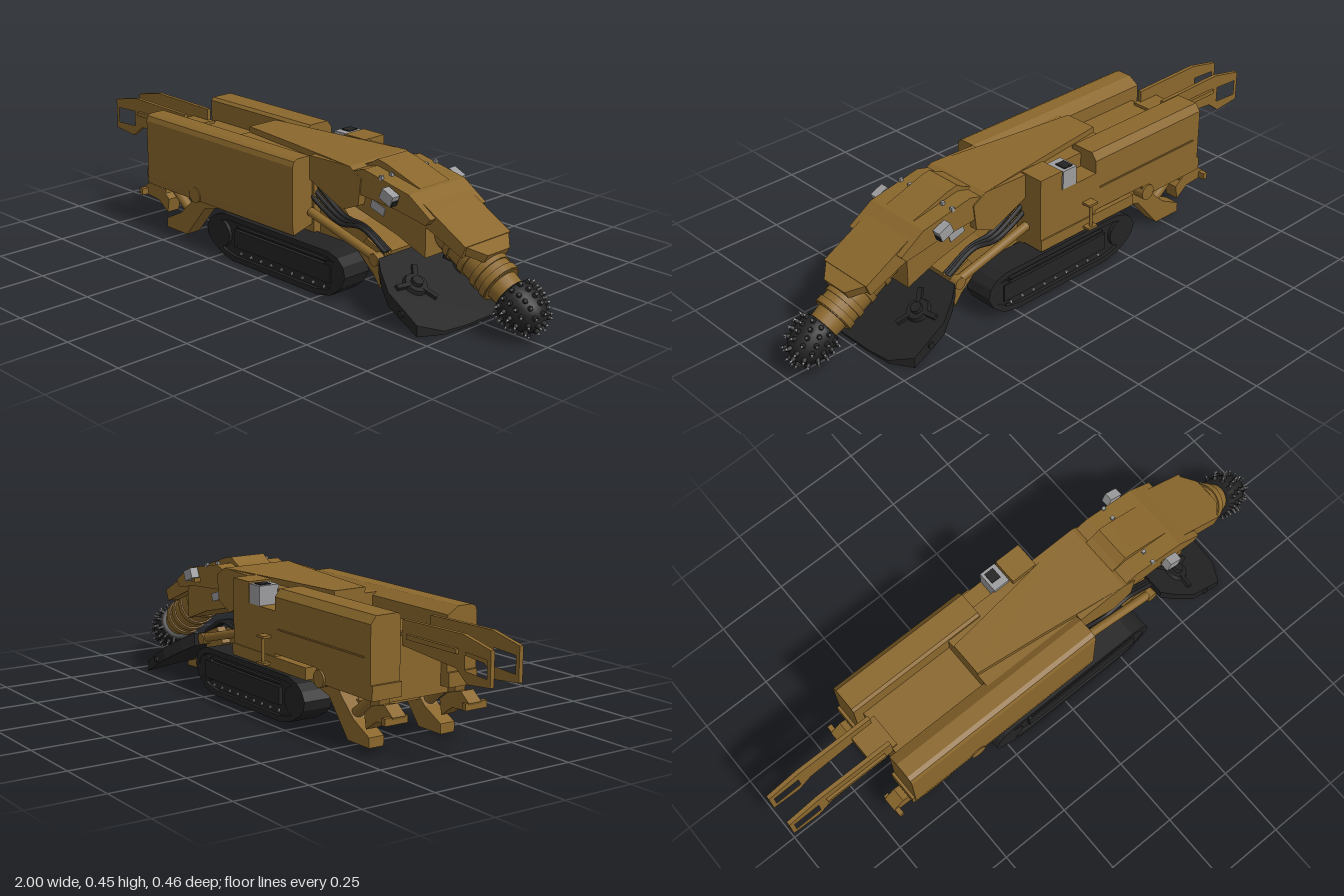
import * as THREE from 'three';

const mat = (name, color) => {
  const m = new THREE.MeshStandardMaterial({ color });
  m.name = name;
  return m;
};

export function createModel() {
  const root = new THREE.Group();
  root.name = 'roadheader';
  const gold = mat('ochre paint', 0x8a672c);
  const black = mat('dark steel', 0x232323);
  const grey = mat('light grey metal', 0x9c9c9e);
  const V = (x, y, z) => new THREE.Vector3(x, y, z);

  const add = (name, geo, m, parent = root) => {
    const mesh = new THREE.Mesh(geo, m);
    mesh.name = name;
    parent.add(mesh);
    return mesh;
  };
  const box = (name, x0, x1, y0, y1, z0, z1, m = gold) =>
    add(name, new THREE.BoxGeometry(x1 - x0, y1 - y0, z1 - z0), m)
      .position.set((x0 + x1) / 2, (y0 + y1) / 2, (z0 + z1) / 2);
  const shape = (pts) => new THREE.Shape(pts.map((p) => new THREE.Vector2(p[0], p[1])));
  const extrude = (s, depth) => new THREE.ExtrudeGeometry(s, { depth, bevelEnabled: false, curveSegments: 16 });
  // Side outline (x, y) spanning z0..z1
  const slab = (name, pts, z0, z1, m = gold, hole) => {
    const s = shape(pts);
    if (hole) s.holes.push(new THREE.Path(hole.map((p) => new THREE.Vector2(p[0], p[1]))));
    return add(name, extrude(s, z1 - z0).translate(0, 0, z0), m);
  };
  // End outline (z, y) spanning x0..x1
  const beam = (name, pts, x0, x1, m = gold) =>
    add(name, extrude(shape(pts.map(([z, y]) => [-z, y])), x1 - x0).rotateY(Math.PI / 2).translate(x0, 0, 0), m);
  // Top outline (x, z) spanning y0..y1
  const plate = (name, pts, y0, y1, m = gold) =>
    add(name, extrude(shape(pts.map(([x, z]) => [x, -z])), y1 - y0).rotateX(-Math.PI / 2).translate(0, y0, 0), m);
  const rod = (name, a, b, r, m = gold, r2 = r) => {
    const mesh = add(name, new THREE.CylinderGeometry(r2, r, a.distanceTo(b), 20), m);
    mesh.position.copy(a).lerp(b, 0.5);
    mesh.quaternion.setFromUnitVectors(V(0, 1, 0), b.clone().sub(a).normalize());
    return mesh;
  };
  const disc = (name, x, y, z0, z1, r, m) => rod(name, V(x, y, z0), V(x, y, z1), r, m);
  const tube = (name, pts, r, m = black) =>
    add(name, new THREE.TubeGeometry(new THREE.CatmullRomCurve3(pts), 20, r, 6), m);

  // Central hull and sloping front frame
  box('hull', -0.6, 0.13, 0.15, 0.35, -0.12, 0.12);
  box('hullRoof', -0.25, 0.13, 0.35, 0.41, -0.13, 0.13);
  plate('topCover', [[-0.25, 0.06], [0, 0.09], [0.3, 0.13], [0.3, -0.13], [0, -0.09], [-0.25, -0.06]], 0.405, 0.43);
  slab('frontFrame', [[0.1, 0.16], [0.1, 0.31], [0.2, 0.3], [0.28, 0.23], [0.45, 0.18], [0.42, 0.07], [0.35, 0.12]], -0.09, 0.09);

  // Side tanks: the left one is long, the right one leaves a cab bay
  beam('leftTank', [[0.09, 0.2], [0.2, 0.17], [0.204, 0.2], [0.204, 0.4], [0.198, 0.417], [0.183, 0.424], [0.13, 0.424], [0.09, 0.4]], -0.63, 0.12);
  beam('rightTank', [[-0.09, 0.22], [-0.2, 0.22], [-0.2, 0.405], [-0.18, 0.43], [-0.1, 0.43], [-0.09, 0.42]], -0.63, -0.12);
  box('rightCabinet', 0.035, 0.13, 0.19, 0.43, -0.2, -0.11);
  box('cabFloor', -0.12, 0.035, 0.19, 0.36, -0.2, -0.11);
  box('sideSkirt', -0.3, 0.13, 0.17, 0.21, -0.205, -0.1);
  box('tankSeam', -0.6, -0.14, 0.3, 0.305, -0.204, -0.2);
  box('controlPanel', -0.03, 0.03, 0.36, 0.425, -0.2, -0.125, grey);
  box('controlScreen', -0.02, 0.015, 0.425, 0.429, -0.19, -0.15, black);
  for (const y of [0.18, 0.268]) box('leverBracket', -0.1, -0.06, y, y + 0.008, -0.232, -0.18);
  rod('lever', V(-0.08, 0.18, -0.22), V(-0.08, 0.275, -0.22), 0.006);

  // Turret and boom: a wide upper block over a narrower lower beam
  slab('turret', [[0.12, 0.345], [0.12, 0.425], [0.3, 0.43], [0.35, 0.4], [0.34, 0.31], [0.27, 0.28]], -0.13, 0.13);
  slab('boomBlock', [[0.28, 0.41], [0.36, 0.432], [0.55, 0.395], [0.64, 0.337], [0.62, 0.315], [0.5, 0.335], [0.3, 0.35]], -0.126, 0.126);
  slab('boomBeam', [[0.3, 0.36], [0.6, 0.34], [0.6, 0.2], [0.48, 0.245], [0.3, 0.29]], -0.102, 0.102);
  slab('boomHump', [[0.29, 0.42], [0.33, 0.435], [0.36, 0.453], [0.4, 0.445], [0.54, 0.399], [0.5, 0.38], [0.3, 0.41]], -0.066, 0.066);
  slab('boomShroud', [[0.55, 0.39], [0.62, 0.354], [0.76, 0.278], [0.745, 0.24], [0.6, 0.3]], -0.103, 0.103);
  const nose = plate('shroudNose', [[0, -0.1], [0.055, -0.05], [0.055, 0.05], [0, 0.1]], -0.03, 0);
  nose.position.set(0.755, 0.278, 0);
  nose.rotation.z = -0.52;

  // Telescopic barrel with collars, along the boom axis
  const axis = V(Math.cos(0.535), -Math.sin(0.535), 0);
  const along = (d) => V(0.56, 0.303, 0).addScaledVector(axis, d);
  rod('boomBarrel', along(0), along(0.3), 0.064);
  for (const d of [0.1, 0.17, 0.23, 0.275]) rod('barrelCollar', along(d), along(d + 0.022), 0.069);
  rod('barrelNeck', along(0.29), along(0.35), 0.054, gold, 0.05);

  // Cutting head with spiralling picks
  const head = new THREE.Group();
  head.name = 'cuttingHead';
  head.position.copy(along(0.342));
  head.quaternion.setFromUnitVectors(V(0, 1, 0), axis);
  root.add(head);
  const profile = [[0, 0], [0.058, 0], [0.067, 0.012], [0.068, 0.05], [0.06, 0.09], [0.042, 0.122], [0, 0.138]];
  add('headDrum', new THREE.LatheGeometry(profile.map((p) => new THREE.Vector2(...p)), 28), black, head);
  const rings = [[0.065, 0.015, 0], [0.067, 0.04, 0.1], [0.065, 0.065, 0.25], [0.058, 0.09, 0.55], [0.043, 0.118, 0.9], [0.015, 0.133, 1.35]];
  rings.forEach(([r, y, tilt], i) => {
    const n = i === 5 ? 4 : 13 - i;
    for (let k = 0; k < n; k++) {
      const a = (k / n) * Math.PI * 2 + i * 0.42;
      const dir = V(Math.cos(a) * Math.cos(tilt), Math.sin(tilt), Math.sin(a) * Math.cos(tilt));
      const pick = new THREE.Group();
      pick.name = 'pick';
      pick.position.set(Math.cos(a) * r, y, Math.sin(a) * r);
      pick.quaternion.setFromUnitVectors(V(0, 1, 0), dir);
      head.add(pick);
      add('pickHolder', new THREE.CylinderGeometry(0.006, 0.01, 0.016, 8), black, pick).position.y = 0.003;
      add('pickTip', new THREE.ConeGeometry(0.005, 0.015, 8), grey, pick).position.y = 0.0165;
    }
  });

  // Loading apron: a wedge sloping down to the ground, its underside levelled at the floor
  const slope = (x) => 0.17 - (x - 0.47) * 0.6;
  const half = [[0.46, 0.16], [0.5, 0.19], [0.565, 0.224], [0.685, 0.224], [0.728, 0.15], [0.735, 0.06]];
  const outline = [...half, ...half.map(([x, z]) => [x, -z]).reverse()];
  const apron = plate('loadingApron', outline, 0, 1, black).geometry;
  const pos = apron.attributes.position;
  for (let i = 0; i < pos.count; i++) {
    const top = slope(pos.getX(i));
    pos.setY(i, pos.getY(i) > 0.5 ? top : Math.max(0.004, top - 0.045));
  }
  apron.computeVertexNormals();
  const deck = new THREE.Group();
  deck.name = 'apronGear';
  deck.position.set(0.47, slope(0.47), 0);
  deck.rotation.z = -Math.atan(0.6);
  root.add(deck);
  for (const s of [1, -1]) {
    add('gatheringDisc', new THREE.CylinderGeometry(0.037, 0.042, 0.014, 28), black, deck).position.set(0.12, 0.006, s * 0.115);
    add('discHub', new THREE.CylinderGeometry(0.018, 0.02, 0.014, 20), black, deck).position.set(0.12, 0.018, s * 0.115);
    for (let k = 0; k < 3; k++) {
      const a = k * 2.094 + s * 0.4;
      const arm = add('gatheringArm', new THREE.BoxGeometry(0.05, 0.012, 0.016), black, deck);
      arm.position.set(0.12 + Math.cos(a) * 0.052, 0.008, s * 0.115 - Math.sin(a) * 0.052);
      arm.rotation.y = a;
    }
  }
  slab('apronSupport', [[0.42, 0.14], [0.5, 0.11], [0.58, 0.05], [0.63, 0.035], [0.63, 0.018], [0.57, 0.022], [0.42, 0.09]], -0.09, 0.09);

  // Paired equipment on both sides
  const oval = [[-0.26, 0.15], [-0.285, 0.13], [-0.302, 0.1], [-0.295, 0.07], [-0.27, 0.045], [-0.22, 0.018], [-0.17, 0.006],
    [0.24, 0.006], [0.3, 0.02], [0.345, 0.055], [0.365, 0.095], [0.355, 0.13], [0.33, 0.153], [0.29, 0.165], [-0.21, 0.165]];
  const inset = oval.map(([x, y]) => [0.03 + (x - 0.03) * 0.94, 0.086 + (y - 0.086) * 0.76]);
  for (const s of [1, -1]) {
    const span = (a, b) => (s > 0 ? [a, b] : [-b, -a]);
    // Crawler tracks
    slab('trackBelt', oval, ...span(0.105, 0.21), black, inset);
    slab('trackFrame', inset, ...span(0.115, 0.198), black);
    box('trackBeam', -0.16, 0.3, 0.06, 0.12, ...span(0.195, 0.212), black);
    box('trackGuard', -0.15, 0.27, 0.128, 0.134, ...span(0.198, 0.21), black);
    disc('sprocket', -0.235, 0.09, s * 0.19, s * 0.21, 0.048, black);
    disc('idler', 0.3, 0.09, s * 0.19, s * 0.208, 0.045, black);
    for (let i = 0; i < 9; i++) disc('trackBolt', -0.14 + i * 0.05, 0.037, s * 0.19, s * 0.202, 0.005, grey);

    // Conveyor tail arms
    slab('tailArm', [[-1, 0.38], [-0.88, 0.405], [-0.6, 0.4], [-0.6, 0.32], [-0.85, 0.3], [-0.9, 0.262], [-1, 0.272]], ...span(0.046, 0.06),
      gold, [[-0.985, 0.35], [-0.89, 0.355], [-0.89, 0.3], [-0.985, 0.295]]);
    box('tailRib', -0.86, -0.63, 0.345, 0.36, ...span(0.058, 0.07));

    // Rear stabiliser legs
    slab('stabiliserLeg', [[-0.58, 0.012], [-0.47, 0.012], [-0.37, 0.13], [-0.24, 0.165], [-0.25, 0.2], [-0.4, 0.215], [-0.43, 0.15], [-0.5, 0.085], [-0.58, 0.045]], ...span(0.11, 0.165));
    disc('stabiliserPivot', -0.372, 0.19, s * 0.1, s * 0.207, 0.028, gold);
    rod('stabiliserCylinder', V(-0.6, 0.19, s * 0.14), V(-0.46, 0.08, s * 0.14), 0.018);
    slab('rearHook', [[-0.7, 0.135], [-0.66, 0.165], [-0.6, 0.15], [-0.56, 0.12], [-0.57, 0.07], [-0.62, 0.105], [-0.69, 0.11]], ...span(0.12, 0.17));
    slab('hookLink', [[-0.64, 0.22], [-0.59, 0.22], [-0.58, 0.12], [-0.62, 0.13]], ...span(0.125, 0.165));
    box('hookPlate', -0.697, -0.68, 0.112, 0.135, ...span(0.11, 0.195));
    box('rearBumper', -0.64, -0.35, 0.175, 0.222, ...span(0.09, 0.2));

    // Boom lift rams and hoses
    rod('liftRam', V(0.13, 0.24, s * 0.135), V(0.42, 0.165, s * 0.135), 0.015);
    disc('ramPin', 0.43, 0.16, s * 0.085, s * 0.152, 0.02, gold);
    slab('apronBracket', [[0.33, 0.16], [0.37, 0.21], [0.45, 0.175], [0.43, 0.06], [0.4, 0.1]], ...span(0.09, 0.122));
    for (let i = 0; i < 3; i++) {
      const z = s * (0.098 + i * 0.009);
      tube('hose', [V(0.11, 0.33 - i * 0.02, z), V(0.17, 0.29 - i * 0.018, z), V(0.25, 0.245 - i * 0.01, z), V(0.34, 0.235, z), V(0.45, 0.18, z)], 0.008);
    }

    // Work lamps and small fittings
    const lamp = add('workLamp', new THREE.BoxGeometry(0.05, 0.036, 0.03), grey);
    lamp.position.set(0.492, 0.381, s * 0.15);
    lamp.rotation.z = -0.4;
    box('lampArm', 0.47, 0.495, 0.355, 0.37, ...span(0.12, 0.15));
    const lens = add('lampLens', new THREE.BoxGeometry(0.006, 0.018, 0.024), black);
    lens.position.set(0.513, 0.364, s * 0.15);
    lens.rotation.z = -0.4;
    const cover = add('boomSidePlate', new THREE.BoxGeometry(0.06, 0.028, 0.006), grey);
    cover.position.set(0.4, 0.312, s * 0.102);
    cover.rotation.z = -0.3;
    for (const z of [0.078, 0.122]) box('roofStud', 0.425, 0.437, 0.413, 0.428, ...span(z - 0.005, z + 0.005), grey);
    disc('apronPin', 0.62, 0.058, s * 0.21, s * 0.23, 0.011, black);
  }
  // Cross members
  box('stabiliserCrossbar', -0.47, -0.43, 0.1, 0.13, -0.12, 0.12);
  box('conveyorTail', -0.68, -0.58, 0.32, 0.36, -0.06, 0.06);
  return root;
}
